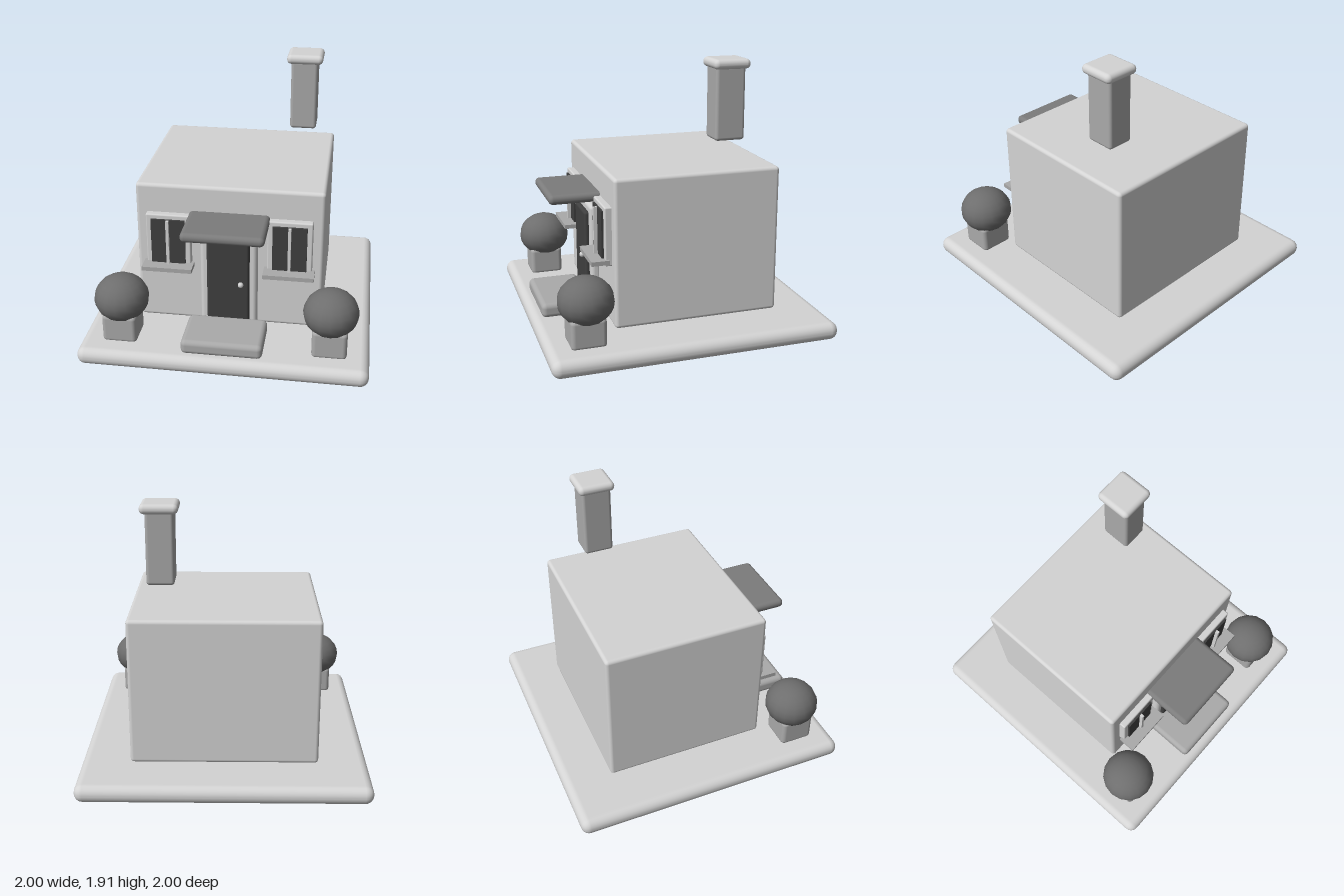
import * as THREE from 'three';
import { RoundedBoxGeometry } from 'three/addons/geometries/RoundedBoxGeometry.js';

const mat = (name, color) => {
  const m = new THREE.MeshStandardMaterial({ color });
  m.name = name;
  return m;
};

export function createModel() {
  const light = mat('light plaster', 0xd4d4d4);
  const stone = mat('mid grey stone', 0xaaaaaa);
  const slate = mat('slate grey', 0x7c7c7c);
  const leaf = mat('foliage grey', 0x6e6e6e);
  const dark = mat('dark grey', 0x404040);

  const house = new THREE.Group();
  house.name = 'house';

  // Box given by its x, y and z ranges, with rounded edges if r > 0
  const box = (name, material, [x0, x1], [y0, y1], [z0, z1], r = 0, parent = house) => {
    const size = [x1 - x0, y1 - y0, z1 - z0];
    const geo = r ? new RoundedBoxGeometry(...size, 3, r) : new THREE.BoxGeometry(...size);
    const mesh = new THREE.Mesh(geo, material);
    mesh.name = name;
    mesh.position.set((x0 + x1) / 2, (y0 + y1) / 2, (z0 + z1) / 2);
    parent.add(mesh);
    return mesh;
  };
  const ball = (name, material, r, x, y, z, parent = house, ws = 16, hs = 12) => {
    const mesh = new THREE.Mesh(new THREE.SphereGeometry(r, ws, hs), material);
    mesh.name = name;
    mesh.position.set(x, y, z);
    parent.add(mesh);
    return mesh;
  };

  // Ground slab and walls
  box('groundSlab', light, [-1, 1], [0, 0.125], [-1, 1], 0.06);
  box('walls', light, [-0.65, 0.65], [0.14, 1.18], [-0.67, 0.5], 0.025);

  // Chimney hovering above the roof
  box('chimneyShaft', stone, [0.335, 0.525], [1.355, 1.86], [-0.455, -0.245], 0.022);
  box('chimneyCap', light, [0.303, 0.56], [1.84, 1.907], [-0.48, -0.222], 0.032);

  // Entrance
  box('doorFrame', light, [-0.2, 0.2], [0.14, 0.88], [0.48, 0.555], 0.03);
  box('door', dark, [-0.15, 0.148], [0.18, 0.825], [0.52, 0.585], 0.02);
  ball('doorKnob', light, 0.02, 0.09, 0.495, 0.595, house, 12, 8);
  box('doorStep', stone, [-0.28, 0.28], [0.115, 0.22], [0.565, 0.928], 0.035);
  box('awning', slate, [-0.28, 0.28], [0.93, 0.997], [0.47, 0.855], 0.032);

  // Windows and potted bushes, one of each per side
  for (const [side, s] of [['right', -1], ['left', 1]]) {
    const cx = 0.42 * s;
    const win = new THREE.Group();
    win.name = side + 'Window';
    house.add(win);
    const across = (half) => [cx - half, cx + half];
    box('windowFrame', light, across(0.155), [0.567, 0.975], [0.49, 0.547], 0.01, win);
    box('windowPane', dark, across(0.118), [0.6, 0.943], [0.545, 0.562], 0, win);
    box('windowBar', light, across(0.01), [0.6, 0.943], [0.55, 0.587], 0, win);
    box('windowSill', stone, across(0.175), [0.585, 0.615], [0.52, 0.645], 0, win);

    const pot = new THREE.Group();
    pot.name = side + 'PottedBush';
    house.add(pot);
    const px = 0.725 * s;
    box('planter', stone, [px - 0.12, px + 0.12], [0.11, 0.32], [0.605, 0.845], 0.03, pot);
    ball('bush', leaf, 0.19, px, 0.41, 0.72, pot).scale.y = 0.87;
  }
  return house;
}
